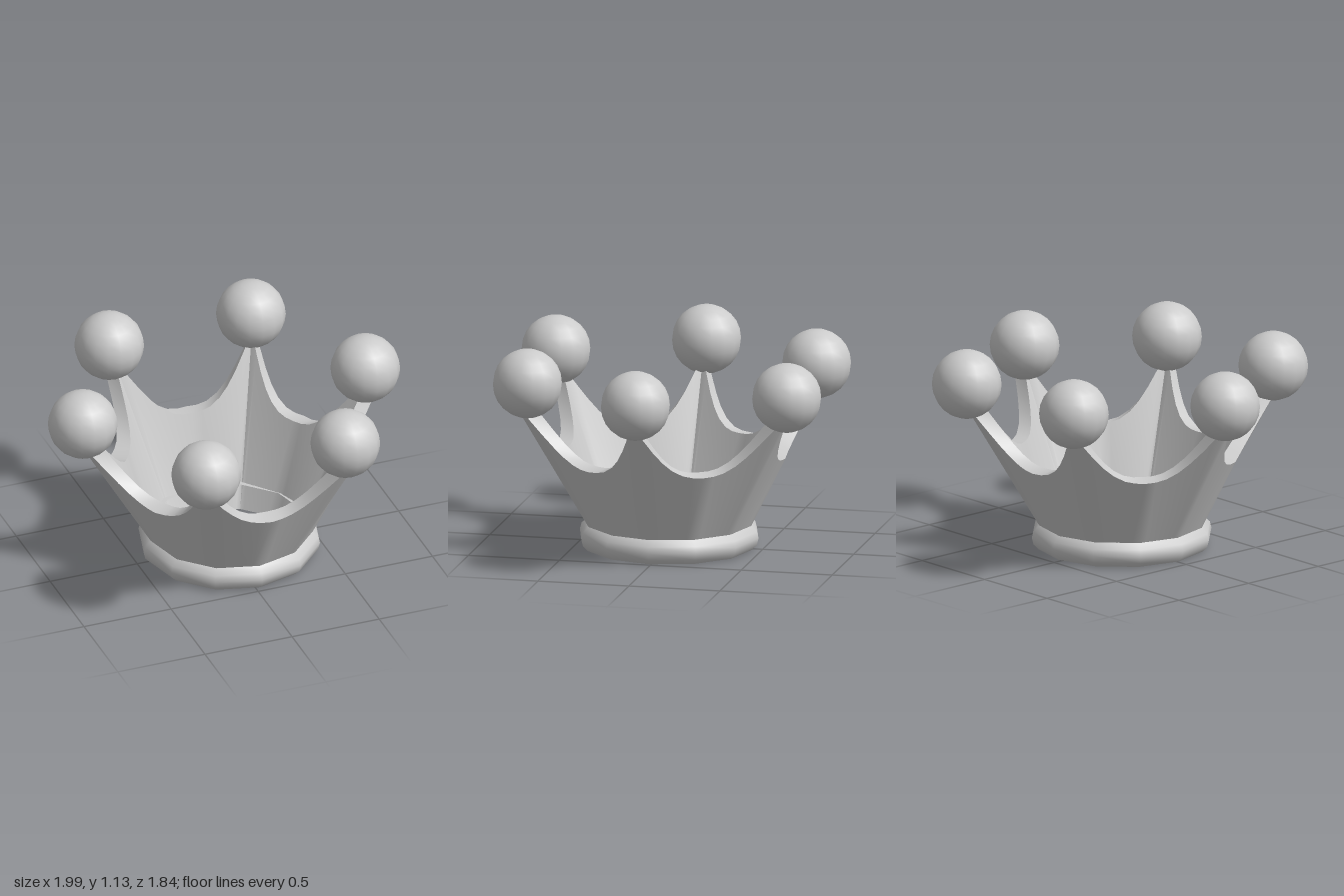
import * as THREE from 'three';
import { toCreasedNormals } from 'three/addons/utils/BufferGeometryUtils.js';

const CX = 0.025, CZ = 0.008; // centre of the band
const material = new THREE.MeshStandardMaterial({ color: 0xcccccc });

// Flared band with six points: one cross-section per column, swept around
function bandGeometry() {
  const steps = [0, 0.17, 0.33, 0.5, 0.64, 0.77, 0.89]; // valley (0) towards tip (1)
  const columns = [];
  for (let half = 0; half < 12; half++) {
    const rising = half % 2 === 0;
    for (const s of steps) columns.push({ half, f: s === 0 || rising ? s : 1 - s, rising });
  }
  // keep falling halves in order from tip to valley
  columns.sort((a, b) => a.half - b.half || a.f - b.f);

  // twelve-sided plan: blend between the valley corner and the tip corner
  const corner = (k, y, inner) => {
    const tip = k % 2 === 1;
    const r = inner ? 0.385 + (tip ? 0.47 : 0.305) * y
                    : 0.45 + (tip ? 0.587 : 0.495) * (y - 0.13);
    const a = k * Math.PI / 6;
    return new THREE.Vector3(r * Math.sin(a), y, r * Math.cos(a));
  };

  const positions = [], index = [], n = columns.length;
  columns.forEach(({ half, f, rising }) => {
    const t = rising ? f : 1 - f;
    const top = 0.512 + 0.35 * Math.pow(t, 2.8);
    for (const [y, inner] of [[0.1, false], [top, false], [top + 0.012, true], [0, true]]) {
      positions.push(...corner(half, y, inner).lerp(corner(half + 1, y, inner), f).toArray());
    }
  });
  for (let i = 0; i < n; i++) {
    for (let j = 0; j < 3; j++) {
      const a = i * 4 + j, b = ((i + 1) % n) * 4 + j;
      index.push(a, b, b + 1, a, b + 1, a + 1);
    }
  }
  const geometry = new THREE.BufferGeometry();
  geometry.setAttribute('position', new THREE.Float32BufferAttribute(positions, 3));
  geometry.setIndex(index);
  return toCreasedNormals(geometry, 0.75);
}

export function createModel() {
  const crown = new THREE.Group();
  crown.name = 'crown';
  const add = (name, geometry, x, y, z) => {
    const mesh = new THREE.Mesh(geometry, material);
    mesh.name = name;
    mesh.position.set(x, y, z);
    crown.add(mesh);
  };

  add('band', bandGeometry(), CX, 0, CZ);

  // Rounded ring around the foot
  const profile = [[0.385, 0], [0.455, 0], [0.482, 0.027], [0.491, 0.065], [0.482, 0.1], [0.45, 0.132], [0.42, 0.132]]
    .map(([r, y]) => new THREE.Vector2(r, y));
  add('baseRing', toCreasedNormals(new THREE.LatheGeometry(profile, 12), 0.75), CX, 0, CZ);

  // Balls on the six points
  const ball = new THREE.SphereGeometry(0.187, 16, 12);
  const spots = [[-0.813, 0], [0.805, 0.01], [-0.387, -0.705], [0.438, -0.735], [-0.387, 0.728], [0.425, 0.693]];
  spots.forEach(([x, z], i) => add('ball' + (i + 1), ball, x, 0.945, z));

  return crown;
}
